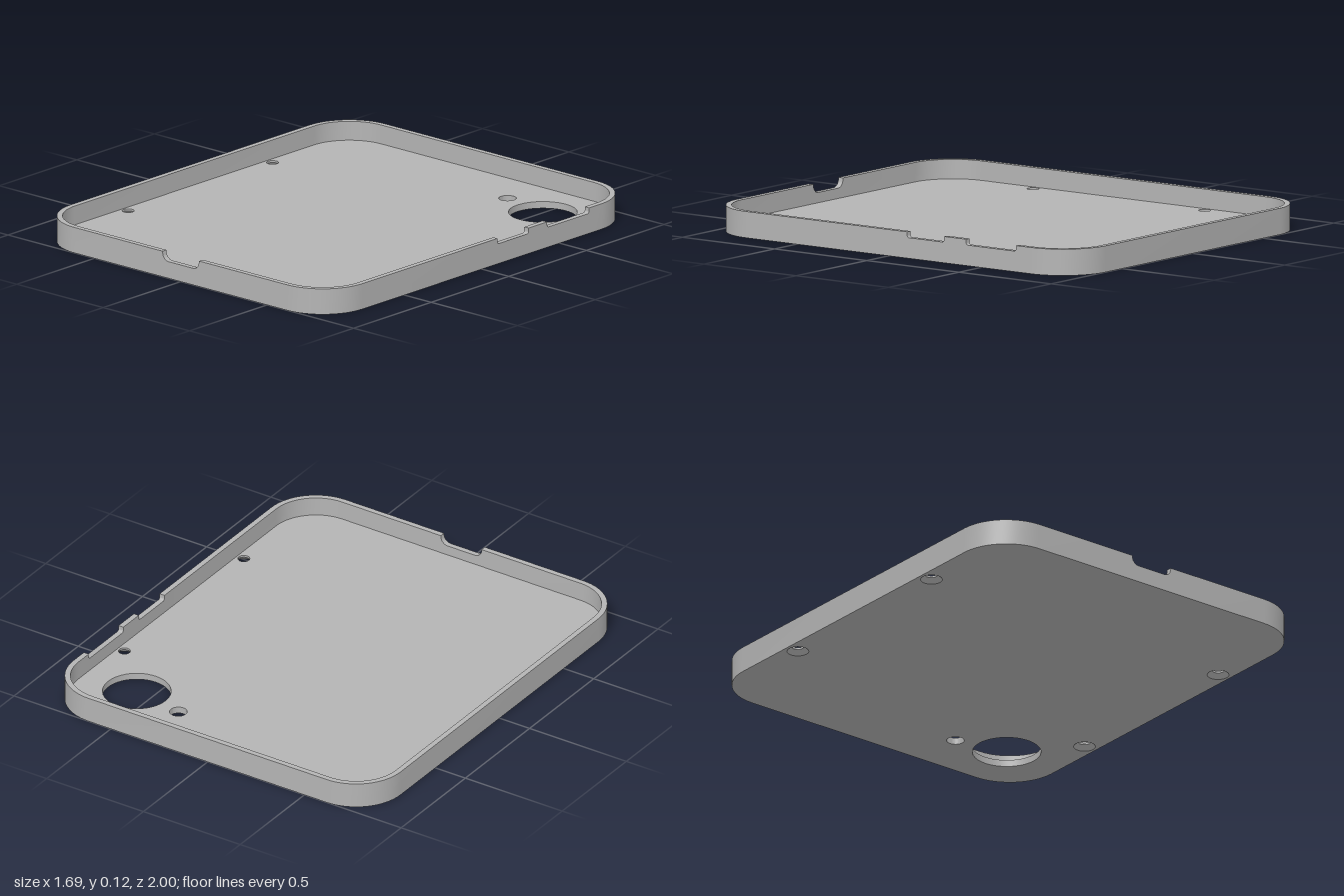
import * as THREE from 'three';
import { toCreasedNormals } from 'three/addons/utils/BufferGeometryUtils.js';

const HX = 0.845, HZ = 1, R = 0.23, WALL = 0.025, H = 0.115, FLOOR = 0.03;

// Plan coordinates are (x, y) with y pointing to the back (z = -y)
const CAMERA = { x: 0.555, y: 0.715, r: 0.148 };
const FLASH = { x: 0.31, y: 0.76, r: 0.038 };
const SCREWS = [];
for (const x of [-0.785, 0.785]) for (const y of [-0.465, 0.465]) SCREWS.push({ x, y, r: 0.026, sink: 0.047 });
const HOLES = [CAMERA, FLASH, ...SCREWS];

// Rim heights across a notch from a to b, with rounded lower corners
function notch(a, b, floorY, r) {
  const pts = [[a, H]];
  for (let i = 0; i <= 6; i++) {
    const t = (i / 6) * Math.PI / 2;
    pts.push([a + r - r * Math.cos(t), floorY + r - r * Math.sin(t)]);
  }
  for (let i = 6; i >= 0; i--) {
    const t = (i / 6) * Math.PI / 2;
    pts.push([b - r + r * Math.cos(t), floorY + r - r * Math.sin(t)]);
  }
  pts.push([b, H]);
  return pts;
}

// Stations round the outline: position, outward normal and rim height
function outline() {
  const out = [];
  const corner = (cx, cy, start) => {
    for (let i = 0; i <= 16; i++) {
      const t = start + (i / 16) * Math.PI / 2, nx = Math.cos(t), ny = Math.sin(t);
      out.push({ x: cx + R * nx, y: cy + R * ny, nx, ny, h: H });
    }
  };
  const cx = HX - R, cy = HZ - R;
  corner(-cx, -cy, Math.PI);
  for (const [x, h] of notch(-0.105, 0.105, 0.075, 0.035)) out.push({ x, y: -HZ, nx: 0, ny: -1, h });
  corner(cx, -cy, -Math.PI / 2);
  for (const [y, h] of [...notch(0.1, 0.3, 0.09, 0.01), ...notch(0.42, 0.69, 0.09, 0.01)]) {
    out.push({ x: HX, y, nx: 1, ny: 0, h });
  }
  corner(cx, cy, 0);
  corner(-cx, cy, Math.PI / 2);
  return out;
}

// Outer face, rim and inner face swept round the outline
function wallGeometry(stations) {
  const pos = [];
  const section = (s) => [[0, 0], [0, s.h], [WALL, s.h], [WALL, FLOOR]].map(
    ([d, y]) => new THREE.Vector3(s.x - s.nx * d, y, -(s.y - s.ny * d)));
  const tri = (a, b, c) => {
    const area = b.clone().sub(a).cross(c.clone().sub(a)).length();
    if (area > 1e-9) for (const p of [a, b, c]) pos.push(p.x, p.y, p.z);
  };
  stations.forEach((s, i) => {
    const A = section(s), B = section(stations[(i + 1) % stations.length]);
    for (let k = 0; k < 3; k++) {
      tri(A[k], B[k], B[k + 1]);
      tri(A[k], B[k + 1], A[k + 1]);
    }
  });
  const g = new THREE.BufferGeometry();
  g.setAttribute('position', new THREE.Float32BufferAttribute(pos, 3));
  return toCreasedNormals(g, 0.5);
}

// One flat side of the floor, pierced by all the holes
function floorFace(stations, inset, below) {
  const m = below ? -1 : 1;
  const shape = new THREE.Shape(stations.map(
    (s) => new THREE.Vector2(s.x - s.nx * inset, m * (s.y - s.ny * inset))));
  for (const o of HOLES) {
    const path = new THREE.Path();
    path.absarc(o.x, m * o.y, below && o.sink ? o.sink : o.r, 0, Math.PI * 2, true);
    shape.holes.push(path);
  }
  return new THREE.ShapeGeometry(shape, 24).rotateX(-m * Math.PI / 2);
}

export function createModel() {
  const model = new THREE.Group();
  model.name = 'coverTray';
  const grey = new THREE.MeshStandardMaterial({ color: 0xb4b4b4, side: THREE.DoubleSide });
  grey.name = 'plainGrey';
  const add = (name, geometry) => {
    const mesh = new THREE.Mesh(geometry, grey);
    mesh.name = name;
    model.add(mesh);
    return mesh;
  };

  const stations = outline();
  add('wall', wallGeometry(stations));
  // The flat faces need no rim detail, so drop the notch stations
  const plain = stations.filter((s) => s.nx * s.ny !== 0 || s.h === H);
  add('floorTop', floorFace(plain, WALL, false)).position.y = FLOOR;
  add('floorUnderside', floorFace(plain, 0, true));

  // Hole linings, countersunk from below at the screws
  for (const o of HOLES) {
    const profile = o.sink
      ? [[o.r, FLOOR], [o.r, 0.021], [o.sink, 0]]
      : [[o.r, FLOOR], [o.r, 0]];
    const lathe = new THREE.LatheGeometry(profile.map(([r, y]) => new THREE.Vector2(r, y)), 48);
    const name = o === CAMERA ? 'cameraHole' : o === FLASH ? 'flashHole' : 'screwHole';
    add(name, toCreasedNormals(lathe, 0.5)).position.set(o.x, 0, -o.y);
  }
  return model;
}
